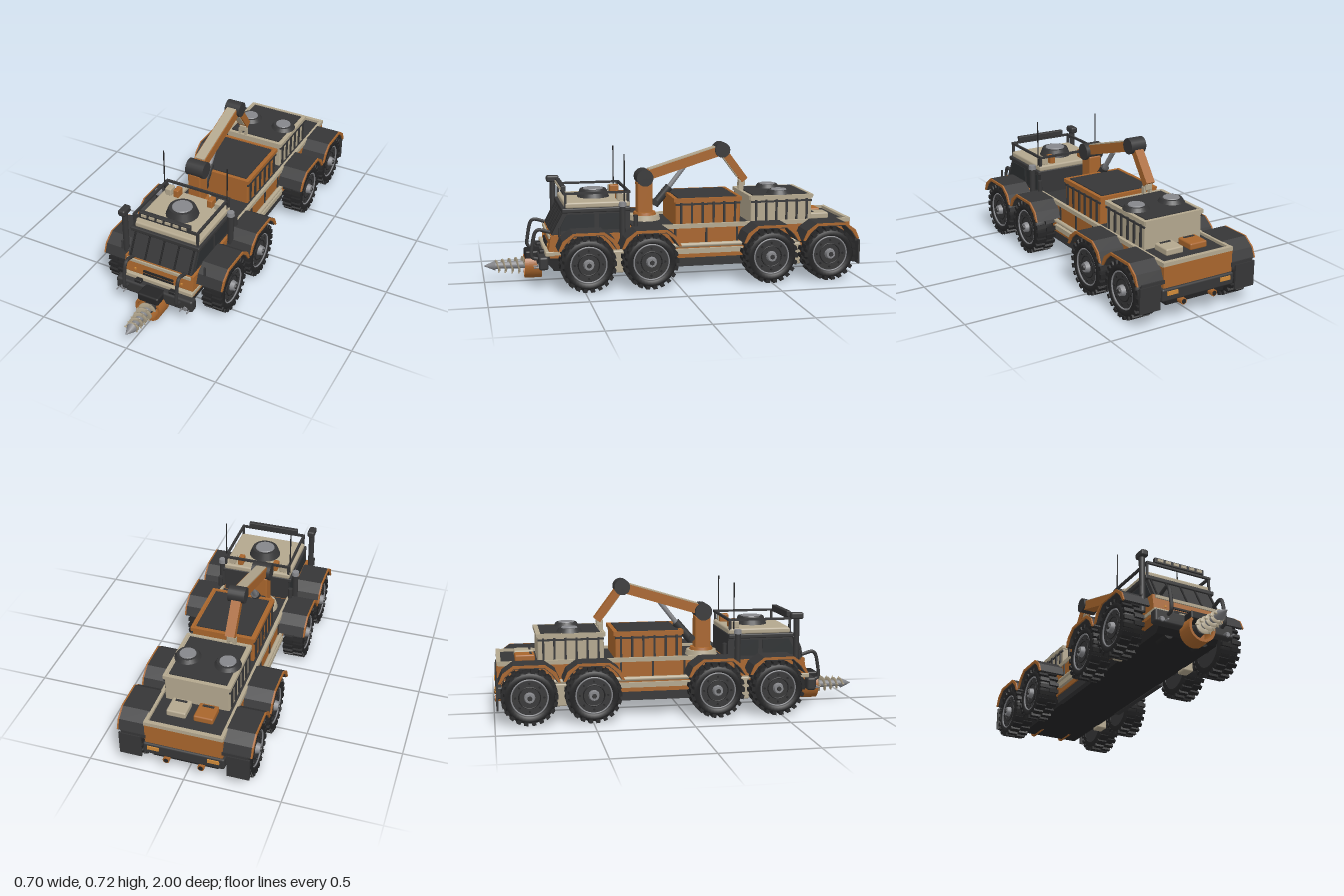
import * as THREE from 'three';
import { mergeGeometries } from 'three/addons/utils/BufferGeometryUtils.js';
import { RoundedBoxGeometry } from 'three/addons/geometries/RoundedBoxGeometry.js';

const paint = (name, color, extra = {}) => Object.assign(new THREE.MeshStandardMaterial({ color, ...extra }), { name });
const V = (x, y, z) => new THREE.Vector3(x, y, z);

export function createModel() {
  const root = new THREE.Group();
  root.name = 'drillTruck';
  const orange = paint('orange paint', 0xa8652c, { side: THREE.DoubleSide });
  const tan = paint('tan paint', 0xb3a78e, { side: THREE.DoubleSide });
  const dark = paint('dark metal', 0x363637);
  const black = paint('black rubber', 0x252526);
  const glass = paint('dark glass', 0x2c2f31);
  const grey = paint('grey metal', 0x85868a);
  const amber = paint('amber lamp', 0xd08a38);

  const add = (name, geo, mat, parent = root) => {
    const m = new THREE.Mesh(geo, mat);
    m.name = name;
    parent.add(m);
    return m;
  };
  const box = (name, mat, w, h, d, x, y, z, r = 0, parent = root) => {
    const g = r ? new RoundedBoxGeometry(w, h, d, 2, r) : new THREE.BoxGeometry(w, h, d);
    const m = add(name, g, mat, parent);
    m.position.set(x, y, z);
    return m;
  };
  // Round bar from a to b, radius ra at a and rb at b
  const rod = (name, mat, a, b, ra, rb = ra, seg = 16, parent = root) => {
    const m = add(name, new THREE.CylinderGeometry(rb, ra, a.distanceTo(b), seg), mat, parent);
    m.position.copy(a).lerp(b, 0.5);
    m.quaternion.setFromUnitVectors(V(0, 1, 0), b.clone().sub(a).normalize());
    return m;
  };
  // Side profile in (z, y), extruded across x
  const profile = (name, mat, pts, w, x = 0, parent = root) => {
    const s = new THREE.Shape(pts.map(p => new THREE.Vector2(p[0], p[1])));
    const g = new THREE.ExtrudeGeometry(s, { depth: w, bevelEnabled: false });
    g.translate(0, 0, -w / 2).rotateY(-Math.PI / 2).translate(x, 0, 0);
    return add(name, g, mat, parent);
  };
  const both = fn => [1, -1].forEach(fn);

  // Wheels
  const tyreGeo = new THREE.LatheGeometry([[0.095, -0.055], [0.123, -0.053], [0.133, -0.043], [0.133, 0.043],
    [0.123, 0.053], [0.1, 0.055], [0.095, 0.04]].map(p => new THREE.Vector2(...p)), 40).rotateZ(-Math.PI / 2);
  const lugs = [];
  for (let i = 0; i < 44; i++) {
    const g = new THREE.BoxGeometry(0.054, 0.019, 0.021);
    g.translate(i % 2 ? 0.028 : -0.028, 0.1355, 0).rotateX(i * Math.PI / 22);
    lugs.push(g);
  }
  const lugGeo = mergeGeometries(lugs);
  const wheelZ = [0.48, 0.153, -0.496, -0.823];
  both(s => wheelZ.forEach(z => {
    const w = new THREE.Group();
    w.name = 'wheel';
    w.position.set(s * 0.278, 0.145, z);
    if (s < 0) w.rotation.y = Math.PI;
    root.add(w);
    add('tyre', tyreGeo, black, w);
    add('tread', lugGeo, black, w);
    rod('rimDisc', dark, V(-0.05, 0, 0), V(0.044, 0, 0), 0.098, 0.098, 32, w);
    add('rimRing', new THREE.TorusGeometry(0.093, 0.004, 6, 40).rotateY(Math.PI / 2), grey, w).position.x = 0.048;
    add('innerRing', new THREE.TorusGeometry(0.055, 0.003, 6, 32).rotateY(Math.PI / 2), black, w).position.x = 0.045;
    rod('hub', grey, V(0.04, 0, 0), V(0.066, 0, 0), 0.03, 0.024, 12, w);
    rod('hubCap', dark, V(0.066, 0, 0), V(0.073, 0, 0), 0.013, 0.011, 8, w);
    for (let i = 0; i < 8; i++) {
      const a = i * Math.PI / 4;
      rod('wheelBolt', black, V(0.042, 0.073 * Math.cos(a), 0.073 * Math.sin(a)),
        V(0.049, 0.073 * Math.cos(a), 0.073 * Math.sin(a)), 0.006, 0.006, 6, w);
    }
    // Angular arch with coloured lip
    const arch = t => [[-0.157, 0.225], [-0.135, 0.275], [-0.08, 0.315], [0.08, 0.315], [0.135, 0.275], [0.157, 0.225],
      [0.157 - t, 0.225], [0.131 - t, 0.265], [0.076, 0.315 - t], [-0.076, 0.315 - t], [t - 0.131, 0.265], [t - 0.157, 0.225]];
    profile('fender', dark, arch(0.018), 0.14, s * 0.269).position.z = z;
    profile('fenderLip', orange, arch(0.013), 0.008, s * 0.343).position.z = z;
  }));
  wheelZ.forEach(z => rod('axle', dark, V(-0.25, 0.145, z), V(0.25, 0.145, z), 0.02));

  // Chassis and hull
  profile('underTray', black, [[0.68, 0.13], [0.64, 0.085], [-0.96, 0.085], [-0.97, 0.14], [0.68, 0.14]], 0.34);
  box('lowerHull', orange, 0.4, 0.06, 1.2, 0, 0.16, -0.36);
  box('upperHull', orange, 0.39, 0.1, 1.2, 0, 0.24, -0.37);
  box('deck', dark, 0.37, 0.008, 1.19, 0, 0.294, -0.38);
  both(s => {
    rod('sillRail', tan, V(s * 0.205, 0.2, 0.22), V(s * 0.205, 0.2, -0.95), 0.012);
    box('deckRail', tan, 0.018, 0.022, 1.2, s * 0.194, 0.301, -0.375);
    box('sillStrip', tan, 0.03, 0.026, 0.4, s * 0.203, 0.168, -0.17);
    box('lowerSkirt', dark, 0.03, 0.045, 0.5, s * 0.18, 0.105, -0.17);
    for (let i = 0; i < 3; i++) box('hullRib', dark, 0.008, 0.08, 0.01, s * 0.197, 0.25, 0 - i * 0.17);
    [0.315, -0.66].forEach(z => box('sideLocker', tan, 0.055, 0.12, 0.07, s * 0.193, 0.13, z, 0.008));
    rod('frameTank', black, V(s * 0.1, 0.095, 0.64), V(s * 0.1, 0.095, 0.55), 0.025);
  });

  // Rear bed, gate and bumper
  box('tailgate', orange, 0.4, 0.11, 0.02, 0, 0.24, -0.972);
  box('tailgateRim', tan, 0.406, 0.02, 0.022, 0, 0.303, -0.972);
  box('rearBumper', dark, 0.42, 0.065, 0.05, 0, 0.15, -0.965, 0.01);
  [[-0.07, orange], [0.07, tan]].forEach(([x, m]) => {
    box('bedCrate', m, 0.1, 0.035, 0.105, x, 0.313, -0.835, 0.008);
    box('crateLatch', dark, 0.06, 0.006, 0.012, x, 0.331, -0.803);
  });
  both(s => {
    box('tailLamp', amber, 0.06, 0.02, 0.008, s * 0.155, 0.16, -0.992);
    rod('tailPipe', orange, V(s * 0.09, 0.1, -0.86), V(s * 0.09, 0.1, -0.995), 0.017);
    rod('tailPipeEnd', black, V(s * 0.09, 0.1, -0.99), V(s * 0.09, 0.1, -0.997), 0.012);
    box('mudFlap', dark, 0.115, 0.13, 0.01, s * 0.278, 0.15, -0.985);
    box('flapArm', dark, 0.13, 0.02, 0.02, s * 0.26, 0.22, -0.975);
  });

  // Cargo containers
  const container = (name, mat, z0, z1, top) => {
    const zc = (z0 + z1) / 2, d = z0 - z1;
    box(name, mat, 0.335, top - 0.29, d, 0, (top + 0.29) / 2, zc, 0.006);
    box(name + 'Lid', dark, 0.3, 0.008, d - 0.035, 0, top + 0.001, zc);
    both(s => {
      box(name + 'Band', dark, 0.008, 0.01, d, s * 0.169, top - 0.03, zc);
      box(name + 'Rim', mat, 0.016, 0.02, d + 0.012, s * 0.167, top - 0.007, zc);
      box(name + 'EndRim', mat, 0.34, 0.02, 0.016, 0, top - 0.007, zc + s * (d / 2));
      for (let i = 0; i < 6; i++) box(name + 'Rib', dark, 0.012, top - 0.325, 0.011, s * 0.17, (top + 0.285) / 2, z1 + d * (i + 0.5) / 6);
    });
  };
  container('midContainer', orange, -0.008, -0.365, 0.443);
  container('rearContainer', tan, -0.425, -0.77, 0.443);
  const fan = (x, y, z, r, h) => {
    rod('fanHousing', dark, V(x, y, z), V(x, y + h, z), r, r * 0.8, 24);
    rod('fanDisc', grey, V(x, y + h, z), V(x, y + h + 0.005, z), r * 0.62, r * 0.58, 20);
  };
  both(s => fan(s * 0.105, 0.445, -0.6, 0.07, 0.022));

  // Cab
  profile('cabLower', orange, [[0.24, 0.16], [0.665, 0.16], [0.672, 0.2], [0.66, 0.28], [0.24, 0.28]], 0.4);
  profile('cabCabin', dark, [[0.24, 0.28], [0.655, 0.28], [0.585, 0.41], [0.24, 0.41]], 0.37);
  box('visor', dark, 0.4, 0.024, 0.36, 0, 0.407, 0.42, 0.006);
  box('roof', tan, 0.38, 0.032, 0.345, 0, 0.432, 0.412, 0.01);
  box('dashStrip', tan, 0.37, 0.016, 0.012, 0, 0.268, 0.664);
  both(s => {
    profile('sideWindow', glass, [[0.43, 0.3], [0.62, 0.3], [0.575, 0.385], [0.43, 0.385]], 0.006, s * 0.186);
    box('rearSideWindow', glass, 0.006, 0.085, 0.13, s * 0.186, 0.343, 0.34);
    box('doorTrim', tan, 0.008, 0.016, 0.42, s * 0.201, 0.185, 0.44);
    box('indicator', amber, 0.01, 0.01, 0.008, s * 0.135, 0.222, 0.67);
    // Exhaust stacks, roof posts and antennas
    rod('exhaustStack', dark, V(s * 0.215, 0.2, 0.285), V(s * 0.215, 0.425, 0.285), 0.016);
    rod('exhaustCap', grey, V(s * 0.215, 0.425, 0.285), V(s * 0.215, 0.447, 0.285), 0.021, 0.019);
    rod('airTank', dark, V(s * 0.205, 0.24, 0.215), V(s * 0.205, 0.375, 0.215), 0.012);
    rod('sideMarker', dark, V(s * 0.24, 0.28, 0.62), V(s * 0.24, 0.33, 0.62), 0.006);
    rod('antenna', black, V(s * 0.185, 0.42, 0.27), V(s * 0.185, 0.695, 0.27), 0.0035, 0.0035, 8);
    [0.25, 0.58].forEach(z => box('rackPost', dark, 0.012, 0.08, 0.012, s * 0.182, 0.458, z));
    box('rackSideRail', dark, 0.012, 0.012, 0.35, s * 0.182, 0.495, 0.415);
    box('rackCrossRail', dark, 0.376, 0.012, 0.012, 0, 0.495, 0.415 + s * 0.17);
    box('roofCanister', orange, 0.03, 0.045, 0.05, s * 0.1, 0.468, 0.28, 0.005);
    box('roofCase', tan, 0.036, 0.04, 0.05, s * 0.147, 0.466, 0.28, 0.005);
  });
  for (let i = 0; i < 5; i++) {
    const x = (i - 2) * 0.085;
    rod('windscreenBar', black, V(x, 0.285, 0.656), V(x, 0.395, 0.596), 0.005, 0.005, 6);
  }
  fan(0, 0.445, 0.41, 0.088, 0.045);
  box('lightBar', dark, 0.29, 0.03, 0.025, 0, 0.515, 0.585, 0.004);
  for (let i = 0; i < 6; i++) box('roofLamp', tan, 0.03, 0.014, 0.008, (i - 2.5) * 0.046, 0.515, 0.599);
  rod('snorkel', dark, V(-0.225, 0.2, 0.605), V(-0.225, 0.5, 0.605), 0.016);
  box('snorkelHead', dark, 0.04, 0.036, 0.07, -0.225, 0.516, 0.605, 0.01);

  // Grille, bumper and bull bars
  [0.205, 0.223].forEach(y => box('grilleSlot', black, 0.175, 0.01, 0.01, 0, y, 0.671));
  box('upperBumper', tan, 0.41, 0.026, 0.05, 0, 0.183, 0.665, 0.006);
  box('bumper', dark, 0.445, 0.07, 0.05, 0, 0.137, 0.7, 0.012);
  box('drillMount', black, 0.12, 0.045, 0.09, 0, 0.15, 0.74, 0.01);
  both(s => {
    const c = new THREE.CatmullRomCurve3([V(s * 0.152, 0.15, 0.725), V(s * 0.152, 0.16, 0.755),
      V(s * 0.152, 0.23, 0.752), V(s * 0.152, 0.295, 0.735), V(s * 0.152, 0.305, 0.72), V(s * 0.152, 0.29, 0.66)]);
    add('bullBar', new THREE.TubeGeometry(c, 24, 0.0095, 8), dark);
    rod('headlight', grey, V(s * 0.185, 0.12, 0.72), V(s * 0.185, 0.12, 0.73), 0.014, 0.012);
    box('towHook', black, 0.04, 0.02, 0.03, s * 0.1, 0.178, 0.7, 0.006);
    both(k => rod('bumperPin', grey, V(s * (0.185 + k * 0.02), 0.115, 0.72), V(s * (0.185 + k * 0.02), 0.115, 0.75), 0.004));
  });

  // Drill with open-topped shroud
  const drill = new THREE.Group();
  drill.name = 'drill';
  drill.position.y = 0.09;
  root.add(drill);
  const ring = new THREE.Shape();
  ring.absarc(0, 0, 0.073, Math.PI * 0.8, Math.PI * 2.2, false);
  ring.absarc(0, 0, 0.06, Math.PI * 2.2, Math.PI * 0.8, true);
  add('shroud', new THREE.ExtrudeGeometry(ring, { depth: 0.09, bevelEnabled: false, curveSegments: 24 }), orange, drill).position.z = 0.697;
  rod('shroudBack', orange, V(0, 0, 0.697), V(0, 0, 0.71), 0.062, 0.062, 24, drill);
  rod('drillMotor', dark, V(0, 0, 0.7), V(0, 0, 0.78), 0.036, 0.03, 16, drill);
  rod('drillShaft', grey, V(0, 0, 0.77), V(0, 0, 0.945), 0.022, 0.018, 16, drill);
  rod('drillTip', grey, V(0, 0, 0.94), V(0, 0, 1.0), 0.028, 0.001, 12, drill);
  const pos = [], idx = [], N = 108;
  for (let i = 0; i <= N; i++) {
    const t = i / N, a = t * 4.5 * Math.PI * 2, z = 0.785 + t * 0.16, R = 0.046 - 0.016 * t;
    const c = Math.cos(a), s = Math.sin(a);
    [[0.015, -0.005], [R, -0.003], [R, 0.003], [0.015, 0.005]].forEach(([r, dz]) => pos.push(r * c, r * s, z + dz));
    if (i < N) for (let k = 0; k < 4; k++) {
      const p = i * 4 + k, q = i * 4 + (k + 1) % 4;
      idx.push(p, q, p + 4, q, q + 4, p + 4);
    }
    if (i % 8 === 4) rod('drillTooth', tan, V(R * 0.8 * c, R * 0.8 * s, z), V((R + 0.008) * c, (R + 0.008) * s, z + 0.004), 0.007, 0.003, 6, drill);
  }
  const flight = new THREE.BufferGeometry();
  flight.setAttribute('position', new THREE.Float32BufferAttribute(pos, 3));
  flight.setIndex(idx);
  flight.computeVertexNormals();
  add('drillFlight', flight, tan, drill);

  // Crane
  const cx = -0.07;
  const beam = (name, mat, a, b, w, h, lift = 0) => {
    const [dy, dz] = [b[1] - a[1], b[0] - a[0]], l = Math.hypot(dy, dz);
    const m = box(name, mat, w, h, l, cx, (a[1] + b[1]) / 2 + lift * dz / l, (a[0] + b[0]) / 2 - lift * dy / l);
    m.rotation.x = Math.atan2(-dy, dz);
  };
  rod('craneTurntable', tan, V(cx, 0.295, 0.115), V(cx, 0.325, 0.115), 0.088, 0.08, 28);
  rod('craneTurret', orange, V(cx, 0.32, 0.115), V(cx, 0.34, 0.115), 0.065, 0.06, 24);
  box('cranePillar', orange, 0.075, 0.2, 0.085, cx, 0.41, 0.118, 0.008);
  rod('craneShoulder', dark, V(-0.12, 0.532, 0.12), V(-0.016, 0.532, 0.12), 0.046, 0.046, 20);
  beam('upperArm', orange, [-0.32, 0.672], [0.12, 0.538], 0.064, 0.052);
  beam('upperArmCover', tan, [-0.29, 0.663], [0.085, 0.549], 0.054, 0.008, 0.027);
  rod('craneElbow', dark, V(-0.112, 0.674, -0.318), V(-0.024, 0.674, -0.318), 0.042, 0.042, 20);
  beam('forearm', orange, [-0.452, 0.5], [-0.325, 0.67], 0.05, 0.04);
  beam('forearmCover', tan, [-0.43, 0.53], [-0.345, 0.643], 0.034, 0.006, -0.021);
  box('gripperWrist', tan, 0.04, 0.035, 0.035, cx, 0.485, -0.437, 0.005);
  both(s => box('gripperFinger', tan, 0.012, 0.05, 0.025, cx + s * 0.018, 0.458, -0.432));
  rod('pistonSleeve', dark, V(cx, 0.375, 0.06), V(cx, 0.475, -0.025), 0.023);
  rod('pistonRod', grey, V(cx, 0.47, -0.02), V(cx, 0.585, -0.11), 0.013);
  rod('pistonFoot', dark, V(cx - 0.03, 0.39, 0.06), V(cx + 0.03, 0.39, 0.06), 0.016);
  return root;
}
